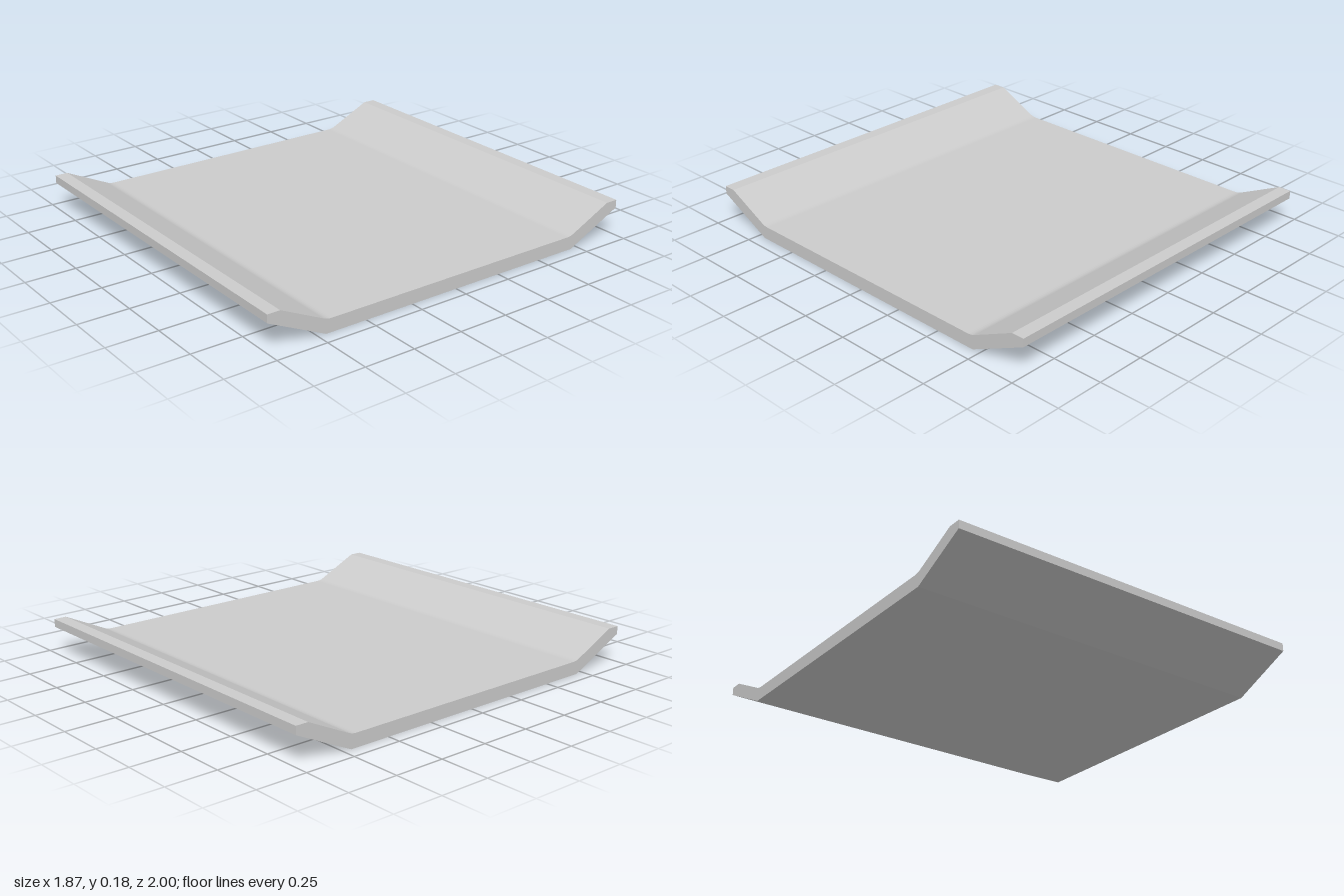
import * as THREE from 'three';

const WIDTH = 1.87;

export function createModel() {
  const group = new THREE.Group();
  group.name = 'tray';

  // Side profile: flat base with both ends bent upward, rims cut level and plumb
  const s = new THREE.Shape();
  s.moveTo(-0.71, 0);
  s.lineTo(0.71, 0);
  s.lineTo(1, 0.138);
  s.lineTo(1, 0.178);
  s.lineTo(0.937, 0.178);
  s.lineTo(0.72, 0.074);
  s.quadraticCurveTo(0.702, 0.066, 0.68, 0.066); // softened inner bend
  s.lineTo(-0.68, 0.066);
  s.quadraticCurveTo(-0.702, 0.066, -0.72, 0.074);
  s.lineTo(-0.937, 0.178);
  s.lineTo(-1, 0.178);
  s.lineTo(-1, 0.138);
  s.closePath();

  // Sweep the profile across the width, then turn its length onto z
  const geometry = new THREE.ExtrudeGeometry(s, { depth: WIDTH, bevelEnabled: false, curveSegments: 4 });
  geometry.translate(0, 0, -WIDTH / 2);
  geometry.rotateY(-Math.PI / 2);

  const plate = new THREE.Mesh(geometry, new THREE.MeshStandardMaterial({ color: 0xcccccc }));
  plate.name = 'bentPlate';
  group.add(plate);
  return group;
}
